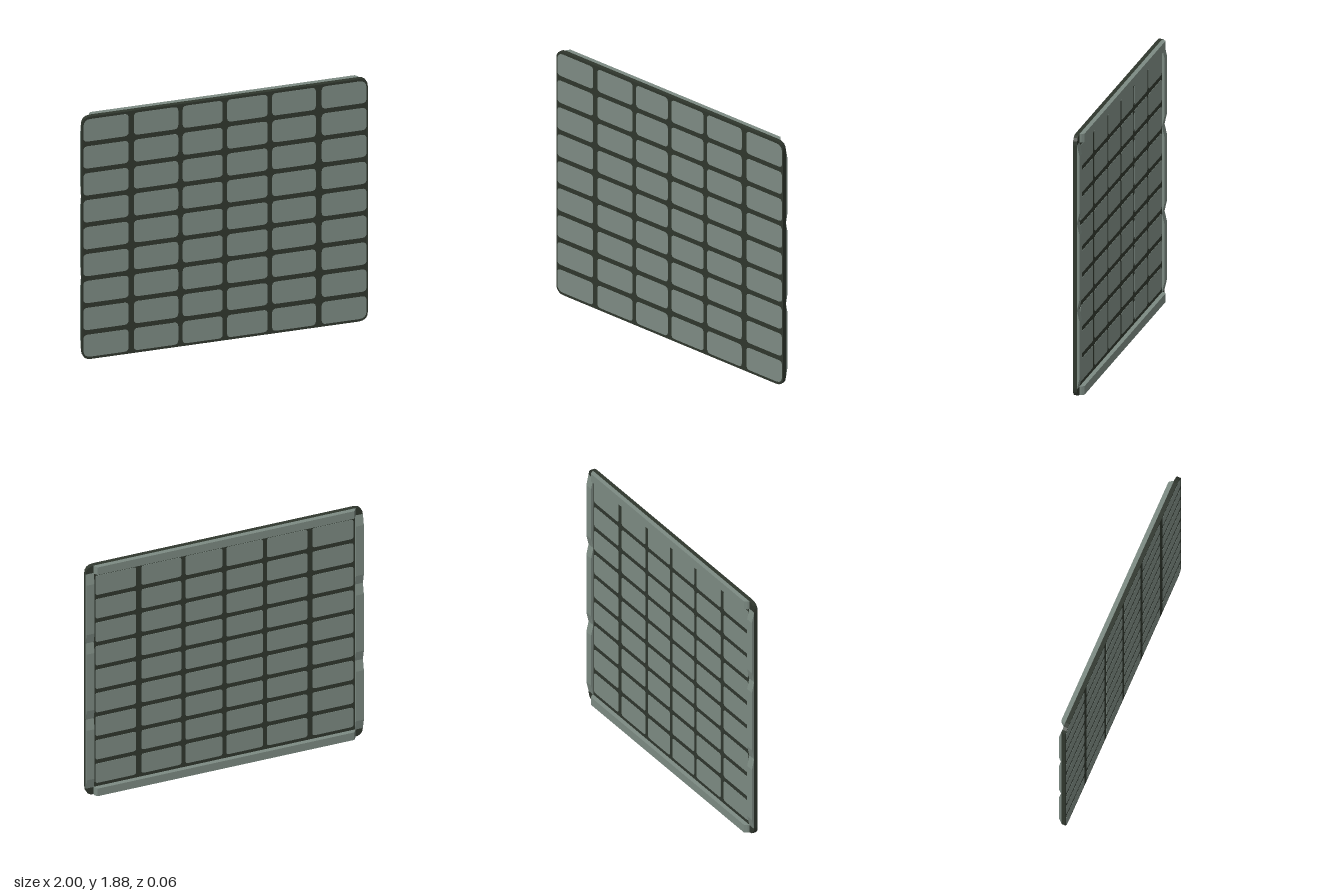
import * as THREE from 'three';

const W = 1, H = 1.88, FRONT = 0.03, RAIL = -0.031, HUMP = -0.018;

// Rectangle with an individual radius per corner: [bottom left, bottom right, top right, top left]
function roundedRect(x0, y0, x1, y1, r) {
  const s = new THREE.Shape();
  s.moveTo(x0 + r[0], y0);
  s.lineTo(x1 - r[1], y0);
  s.quadraticCurveTo(x1, y0, x1, y0 + r[1]);
  s.lineTo(x1, y1 - r[2]);
  s.quadraticCurveTo(x1, y1, x1 - r[2], y1);
  s.lineTo(x0 + r[3], y1);
  s.quadraticCurveTo(x0, y1, x0, y1 - r[3]);
  s.lineTo(x0, y0 + r[0]);
  s.quadraticCurveTo(x0, y0, x0 + r[0], y0);
  return s;
}

function extrude(shape, depth) {
  return new THREE.ExtrudeGeometry(shape, { depth, bevelEnabled: false, curveSegments: 4 });
}

export function createModel() {
  const grout = new THREE.MeshStandardMaterial({ name: 'dark grout', color: 0x2f362d });
  const stone = new THREE.MeshStandardMaterial({ name: 'grey green tile', color: 0x7c8a82 });
  const group = new THREE.Group();
  group.name = 'tiledPanel';

  const add = (name, geometry, material, parent = group) => {
    const mesh = new THREE.Mesh(geometry, material);
    mesh.name = name;
    parent.add(mesh);
    return mesh;
  };

  // Slab with rounded corners
  add('slab', extrude(roundedRect(-W, 0, W, H, [0.065, 0.065, 0.065, 0.065]), FRONT - 0.001), grout);

  // Tile grids: the back one is a smaller copy framed by the rails
  const columns = [[-0.99, -0.675], [-0.637, -0.327], [-0.296, -0.016], [0.015, 0.298], [0.33, 0.636], [0.677, 0.99]];
  const rows = 9, pitch = 0.2088, tileH = 0.172, firstY = 0.019;

  const front = new THREE.Group();
  front.name = 'frontTiles';
  group.add(front);
  columns.forEach(([x0, x1], c) => {
    for (let i = 0; i < rows; i++) {
      const y0 = firstY + i * pitch;
      const L = c === 0, R = c === 5, B = i === 0, T = i === rows - 1;
      const r = [L && B, R && B, R && T, L && T].map((corner) => (corner ? 0.052 : 0.03));
      const tile = add('frontTile', extrude(roundedRect(x0, y0, x1, y0 + tileH, r), 0.002), stone, front);
      tile.position.z = FRONT - 0.002;
    }
  });

  const back = new THREE.Group();
  back.name = 'backTiles';
  group.add(back);
  const sx = 0.94, sy = 0.925;
  columns.forEach(([x0, x1]) => {
    for (let i = 0; i < rows; i++) {
      const y0 = H / 2 + (firstY + i * pitch - H / 2) * sy;
      const shape = roundedRect(x0 * sx, y0, x1 * sx, y0 + tileH * sy, [0.02, 0.02, 0.02, 0.02]);
      add('backTile', extrude(shape, 0.002), stone, back).position.z = -0.002;
    }
  });

  // Top and bottom rails, with slightly tapered ends
  const railShape = new THREE.Shape([
    new THREE.Vector2(-0.945, 0), new THREE.Vector2(-0.94, RAIL + 0.018), new THREE.Vector2(-0.925, RAIL),
    new THREE.Vector2(0.925, RAIL), new THREE.Vector2(0.94, RAIL + 0.018), new THREE.Vector2(0.945, 0),
  ]);
  for (const [name, top] of [['bottomRail', 0.062], ['topRail', H]]) {
    const rail = add(name, extrude(railShape, 0.062), stone);
    rail.rotation.x = Math.PI / 2;
    rail.position.y = top;
  }

  // Side rails: three long humps that dip to the slab between them
  const third = H / 3;
  const profile = new THREE.Shape();
  profile.moveTo(0, 0.06);
  for (let i = 0; i < 3; i++) {
    const a = i * third, b = a + third;
    profile.lineTo(HUMP, a + (i === 0 ? 0.14 : 0.08));
    profile.lineTo(HUMP, b - (i === 2 ? 0.14 : 0.08));
    profile.lineTo(0, i === 2 ? b - 0.06 : b);
  }
  for (const [name, x] of [['rightSideRail', -W], ['leftSideRail', 0.942]]) {
    const rail = add(name, extrude(profile, 0.058), stone);
    rail.rotation.y = -Math.PI / 2;
    rail.position.x = x + 0.058;
  }

  return group;
}
